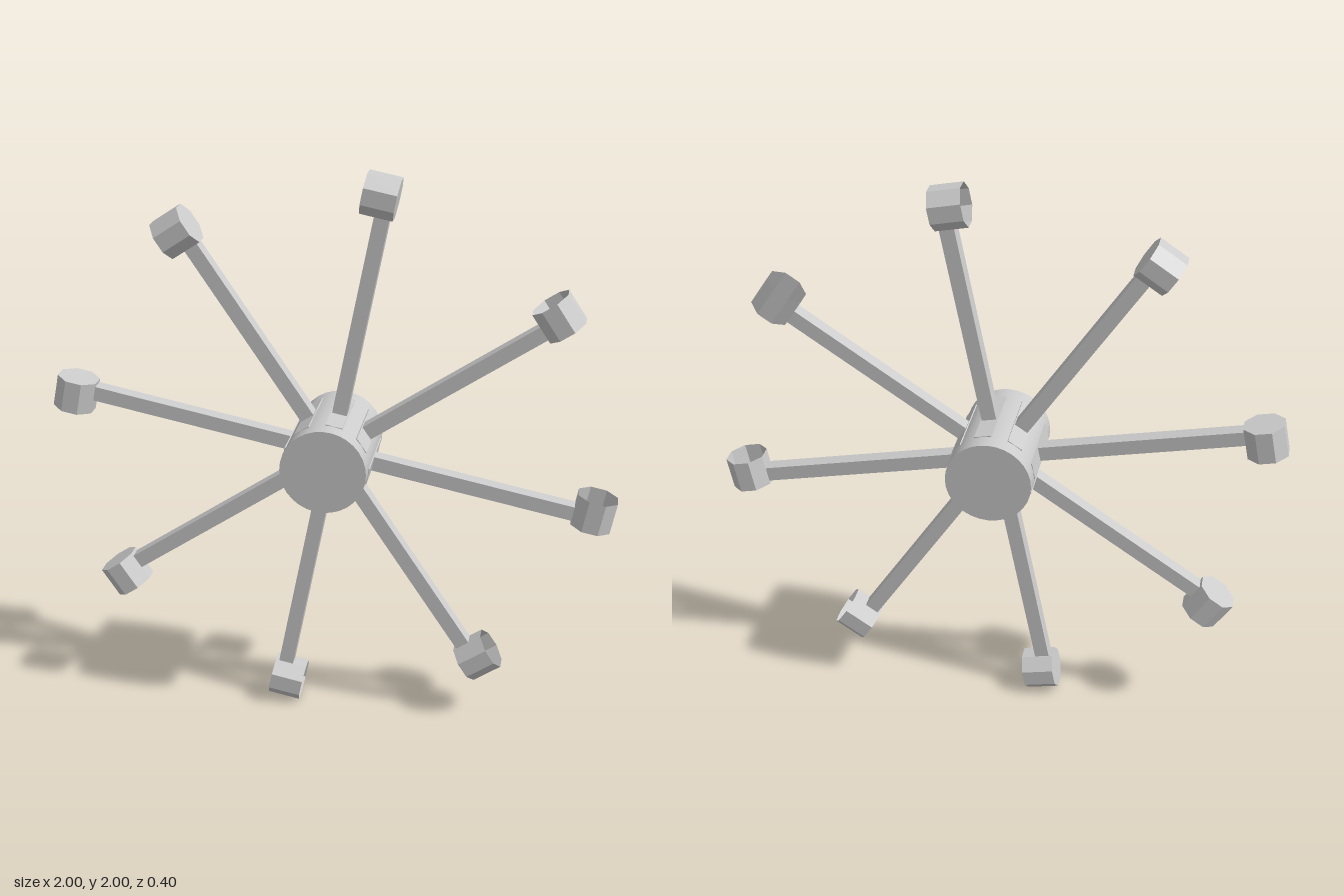
import * as THREE from 'three';

const SPOKES = 8;
const HUB_RADIUS = 0.15;
const BUCKET_RADIUS = 0.075;
const BUCKET_DEPTH = 0.115;

const smooth = new THREE.MeshStandardMaterial({ color: 0xcccccc });
const faceted = new THREE.MeshStandardMaterial({ color: 0xcccccc, flatShading: true });
const thin = new THREE.MeshStandardMaterial({ color: 0xcccccc, flatShading: true, side: THREE.DoubleSide });

function part(name, geometry, material) {
  const mesh = new THREE.Mesh(geometry, material);
  mesh.name = name;
  return mesh;
}

// Open eight-sided cup: axis along y, mouth at +y, floor at -y, flats facing x and z
function makeBucket() {
  const bucket = new THREE.Group();
  bucket.name = 'bucket';
  const wall = new THREE.CylinderGeometry(BUCKET_RADIUS, BUCKET_RADIUS, BUCKET_DEPTH, 8, 1, true);
  wall.rotateY(Math.PI / 8);
  const floor = new THREE.CircleGeometry(BUCKET_RADIUS, 8, Math.PI / 8);
  floor.rotateX(Math.PI / 2).translate(0, -BUCKET_DEPTH / 2, 0);
  bucket.add(part('bucketWall', wall, thin), part('bucketFloor', floor, thin));
  return bucket;
}

// One arm along local +x: hub strip, spoke and bucket set slightly to one side
function makeArm() {
  const arm = new THREE.Group();
  arm.name = 'arm';
  const inner = 0.1, outer = 0.868;
  const spoke = new THREE.BoxGeometry(outer - inner, 0.052, 0.052);
  spoke.translate((inner + outer) / 2, 0, 0);
  const strip = new THREE.BoxGeometry(0.03, 0.06, 0.28);
  strip.translate(HUB_RADIUS + 0.001 - 0.015, 0, 0);
  const bucket = makeBucket();
  bucket.position.set(0.935, 0.019, 0);
  arm.add(part('spoke', spoke, faceted), part('hubStrip', strip, faceted), bucket);
  return arm;
}

export function createModel() {
  const wheel = new THREE.Group();
  wheel.name = 'bucketWheel';

  // Hub drum lying along z
  const hub = new THREE.CylinderGeometry(HUB_RADIUS, HUB_RADIUS, 0.4, 32);
  hub.rotateX(Math.PI / 2);
  wheel.add(part('hub', hub, smooth));

  // Arms evenly spaced, turned a quarter step off the axes
  for (let i = 0; i < SPOKES; i++) {
    const arm = makeArm();
    arm.rotation.z = ((i - 0.25) / SPOKES) * Math.PI * 2;
    wheel.add(arm);
  }

  wheel.position.y = 1;
  const model = new THREE.Group();
  model.add(wheel);
  return model;
}
